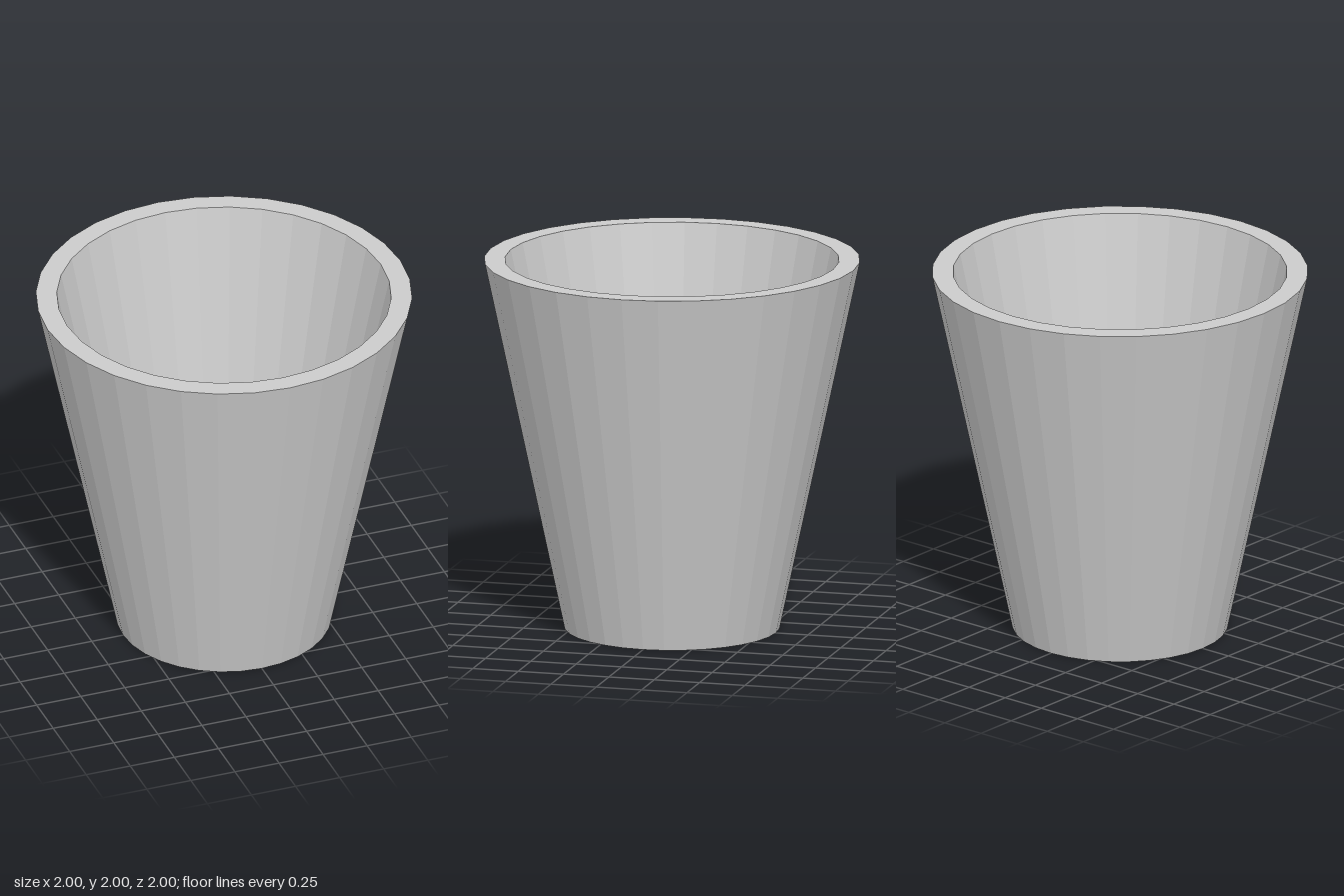
import * as THREE from 'three';

const SIDES = 32;

export function createModel() {
  const model = new THREE.Group();
  model.name = 'cup';
  const material = new THREE.MeshStandardMaterial({ color: 0xcccccc, flatShading: true });

  // Closed profile: underside, outer wall, rim, inner wall, inside floor
  const profile = [
    [0, 0], [0.573, 0], [1, 2], [0.889, 2], [0.479, 0.09], [0, 0.09],
  ].map(([r, y]) => new THREE.Vector2(r, y));

  const body = new THREE.Mesh(new THREE.LatheGeometry(profile, SIDES), material);
  body.name = 'taperedCupBody';
  model.add(body);
  return model;
}
